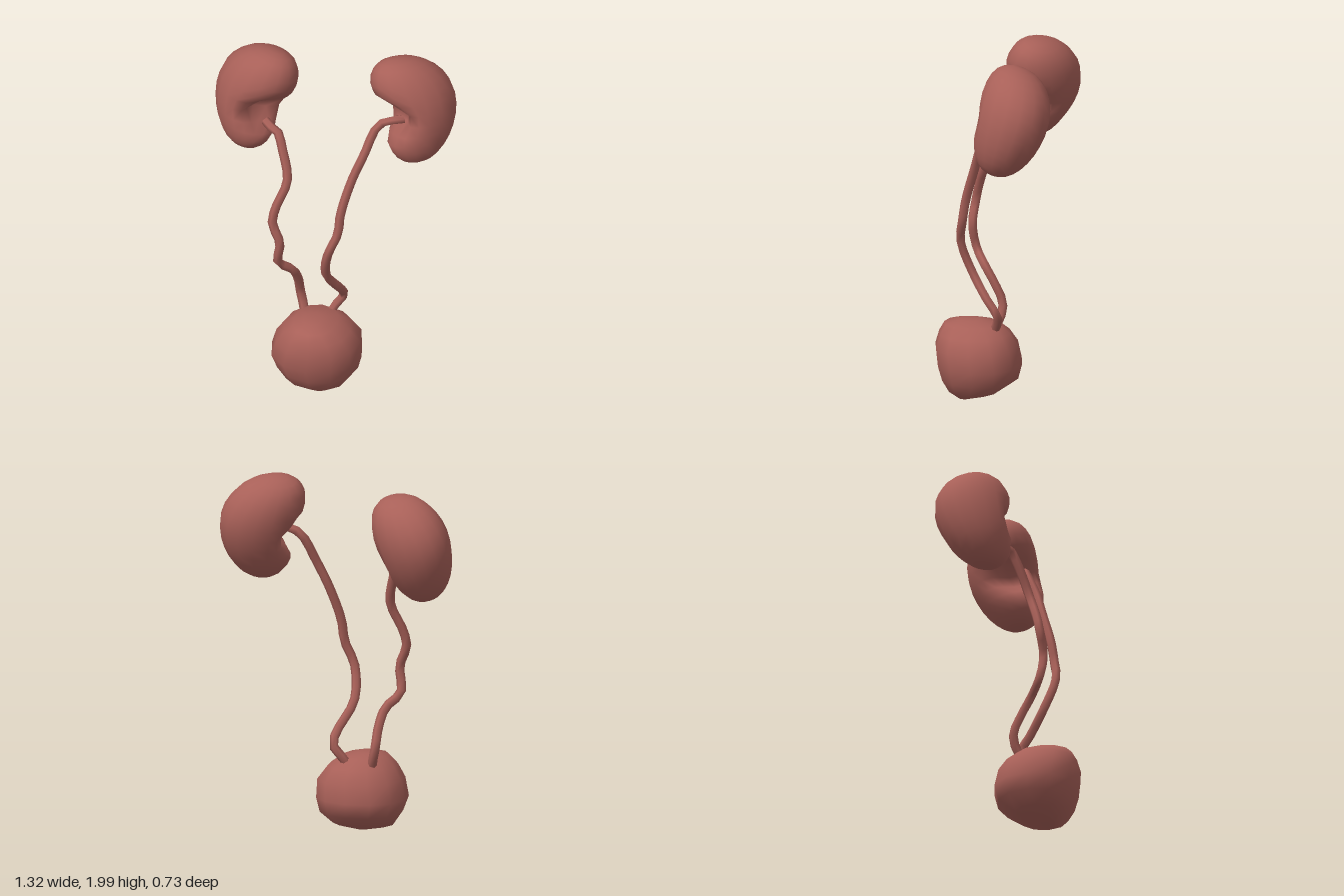
import * as THREE from 'three';

const material = new THREE.MeshStandardMaterial({ color: 0xa86058, roughness: 0.8, side: THREE.DoubleSide });

// Closed smooth skin over a stack of rings, with a centre vertex at each end.
function loft(rings, flip = false) {
  const n = rings[0].length, pos = [], idx = [];
  const tri = (a, b, c) => idx.push(...(flip ? [a, c, b] : [a, b, c]));
  const centre = ring => ring.reduce((s, p) => s.add(p), new THREE.Vector3()).divideScalar(n);
  rings.forEach(ring => ring.forEach(p => pos.push(p.x, p.y, p.z)));
  const start = rings.length * n, end = start + 1;
  for (const ring of [rings[0], rings[rings.length - 1]]) pos.push(...centre(ring).toArray());
  for (let j = 0; j < n; j++) {
    const k = (j + 1) % n, top = (rings.length - 1) * n;
    for (let i = 0; i < rings.length - 1; i++) {
      const a = i * n + j, b = i * n + k;
      tri(a, b, b + n);
      tri(a, b + n, a + n);
    }
    tri(start, k, j);
    tri(end, top + j, top + k);
  }
  const geo = new THREE.BufferGeometry();
  geo.setAttribute('position', new THREE.Float32BufferAttribute(pos, 3));
  geo.setIndex(idx);
  geo.computeVertexNormals();
  return geo;
}

// Bean shape, larger at the top: poles curl towards the inner-front side, which carries a dent.
function kidney(side, cx, cy, cz, dentAt) {
  const h = new THREE.Vector3(-side * 0.8, 0, 0.6);          // towards the dent
  const t = new THREE.Vector3(-side * 0.57, -0.31, -0.76);   // thickness
  const a = new THREE.Vector3(-side * 0.19, 0.95, -0.25);    // long axis
  const rings = [], rows = 15, segs = 16;
  for (let i = 0; i < rows; i++) {
    const th = Math.PI * (0.04 + 0.92 * i / (rows - 1));
    const c = -Math.cos(th), r = Math.pow(Math.sin(th), 0.82), s = 0.3 * c;
    const mid = -0.03 + (c > 0 ? 0.08 : 0.03) * c * c;
    const groove = Math.exp(-(((s - dentAt) / 0.09) ** 2));
    const ring = [];
    for (let j = 0; j < segs; j++) {
      const phi = j / segs * Math.PI * 2, cos = Math.cos(phi), front = Math.max(0, cos);
      const dent = groove * (0.1 * front + 0.1 * front ** 6);
      ring.push(new THREE.Vector3(cx, cy, cz)
        .addScaledVector(h, mid + 0.226 * r * cos * (1 + 0.14 * c) - dent)
        .addScaledVector(t, 0.19 * r * Math.sin(phi) * (1 + 0.13 * c))
        .addScaledVector(a, s));
    }
    rings.push(ring);
  }
  return loft(rings, side > 0);
}

function ureter(points) {
  const curve = new THREE.CatmullRomCurve3(points.map(p => new THREE.Vector3(...p)));
  return new THREE.TubeGeometry(curve, 26, 0.025, 6);
}

// Each row: height, centre x, centre z, radius x, radius z.
function bladder() {
  const rows = [
    [0.003, 0, 0.19, 0.03, 0.03],
    [0.05, -0.03, 0.14, 0.17, 0.14],
    [0.12, -0.03, 0.11, 0.225, 0.21],
    [0.2, -0.035, 0.112, 0.25, 0.232],
    [0.3, -0.022, 0.125, 0.235, 0.228],
    [0.37, -0.025, 0.138, 0.185, 0.195],
    [0.42, -0.03, 0.155, 0.12, 0.15],
    [0.438, -0.04, 0.17, 0.05, 0.06],
  ];
  const segs = 12;
  const soften = v => Math.sign(v) * Math.abs(v) ** 0.92;
  return loft(rows.map(([y, cx, cz, rx, rz]) => Array.from({ length: segs }, (_, j) => {
    const p = j / segs * Math.PI * 2;
    return new THREE.Vector3(cx + rx * soften(Math.sin(p)), y, cz + rz * soften(Math.cos(p)));
  })));
}

export function createModel() {
  const group = new THREE.Group();
  const add = (name, geometry) => {
    const mesh = new THREE.Mesh(geometry, material);
    mesh.name = name;
    group.add(mesh);
  };

  add('bladder', bladder());
  add('rightKidney', kidney(-1, -0.43, 1.645, -0.117, -0.05));
  add('leftKidney', kidney(1, 0.42, 1.70, -0.138, -0.02));

  // Wavy ducts from the kidney dents down into the top of the bladder
  add('rightUreter', ureter([
    [-0.36, 1.55, -0.03], [-0.32, 1.535, 0], [-0.28, 1.53, 0.02], [-0.24, 1.44, 0.06], [-0.2, 1.28, 0.11],
    [-0.25, 1.13, 0.16], [-0.265, 1.04, 0.18], [-0.22, 0.92, 0.19], [-0.235, 0.78, 0.17],
    [-0.17, 0.7, 0.11], [-0.155, 0.6, 0.05], [-0.155, 0.5, 0.01], [-0.135, 0.42, 0.02], [-0.125, 0.39, 0.035],
  ]));
  add('leftUreter', ureter([
    [0.4, 1.68, -0.06], [0.37, 1.68, -0.035], [0.33, 1.68, -0.03], [0.27, 1.64, -0.01], [0.21, 1.48, 0.06],
    [0.16, 1.35, 0.1], [0.11, 1.15, 0.16], [0.1, 1.03, 0.18], [0.05, 0.9, 0.2],
    [0.025, 0.72, 0.14], [0.08, 0.57, 0.04], [0.085, 0.5, -0.01], [0.03, 0.42, 0.01], [0.015, 0.39, 0.025],
  ]));
  return group;
}
